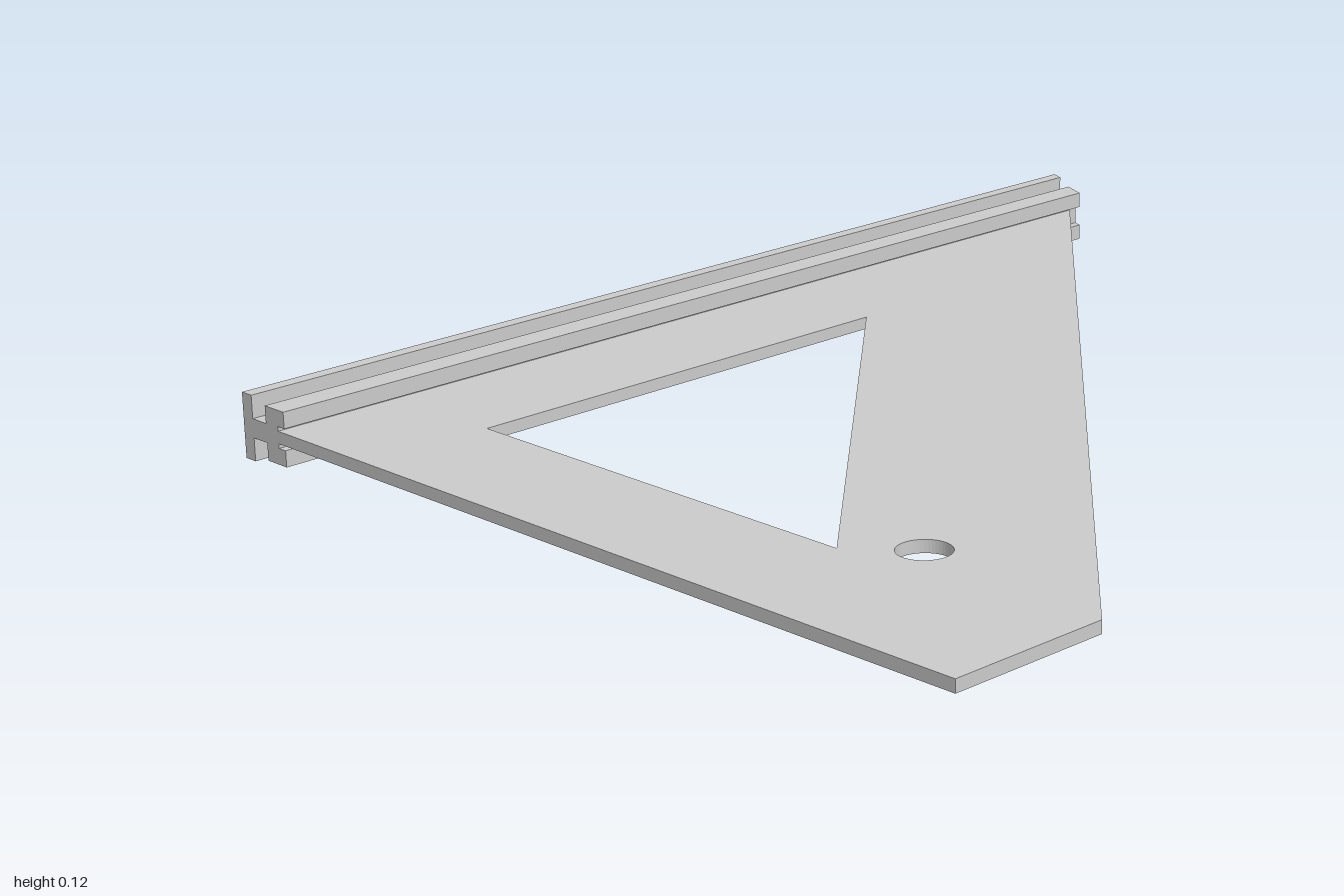
import * as THREE from 'three';

const material = new THREE.MeshStandardMaterial({ color: 0xcccccc });
const vectors = (points) => points.map(([x, y]) => new THREE.Vector2(x, y));

// Flat triangular blade, outlined in x and z, with a window and a hanging hole
function makeBlade() {
  const plan = (points) => vectors(points.map(([x, z]) => [x, -z]));
  const shape = new THREE.Shape(plan([
    [-0.73, 1], [0.825, 1], [0.825, 0.7], [-0.712, -0.922], [-0.73, -0.941],
  ]));
  shape.holes.push(new THREE.Path(plan([[-0.49, -0.125], [-0.49, 0.755], [0.34, 0.755]])));
  shape.holes.push(new THREE.Path().absarc(0.441, -0.67, 0.045, 0, Math.PI * 2, true));
  const geometry = new THREE.ExtrudeGeometry(shape, { depth: 0.022, bevelEnabled: false, curveSegments: 24 });
  geometry.rotateX(-Math.PI / 2).translate(0, 0.047, 0);
  const mesh = new THREE.Mesh(geometry, material);
  mesh.name = 'blade';
  return mesh;
}

// Grooved rail: half profile mirrored about mid-height, extruded along z
function makeRail() {
  const middle = 0.058;
  const upper = [
    [-0.73, 0.019], [-0.712, 0.019], [-0.712, 0.048], [-0.763, 0.048],
    [-0.763, 0.017], [-0.8, 0.017], [-0.8, 0.058], [-0.826, 0.058],
  ];
  const lower = upper.map(([x, y]) => [x, -y]).reverse();
  const profile = [...upper, ...lower].map(([x, y]) => [x, y + middle]);
  const geometry = new THREE.ExtrudeGeometry(new THREE.Shape(vectors(profile)), { depth: 2, bevelEnabled: false });
  geometry.translate(0, 0, -1);

  // Slanted cut on the back end
  const position = geometry.attributes.position;
  for (let i = 0; i < position.count; i++) {
    if (position.getZ(i) < 0) position.setZ(i, -1 + (position.getX(i) + 0.826) * 0.43);
  }
  geometry.computeVertexNormals();
  const mesh = new THREE.Mesh(geometry, material);
  mesh.name = 'rail';
  return mesh;
}

export function createModel() {
  const group = new THREE.Group();
  group.name = 'setSquare';
  group.add(makeBlade(), makeRail());
  return group;
}
